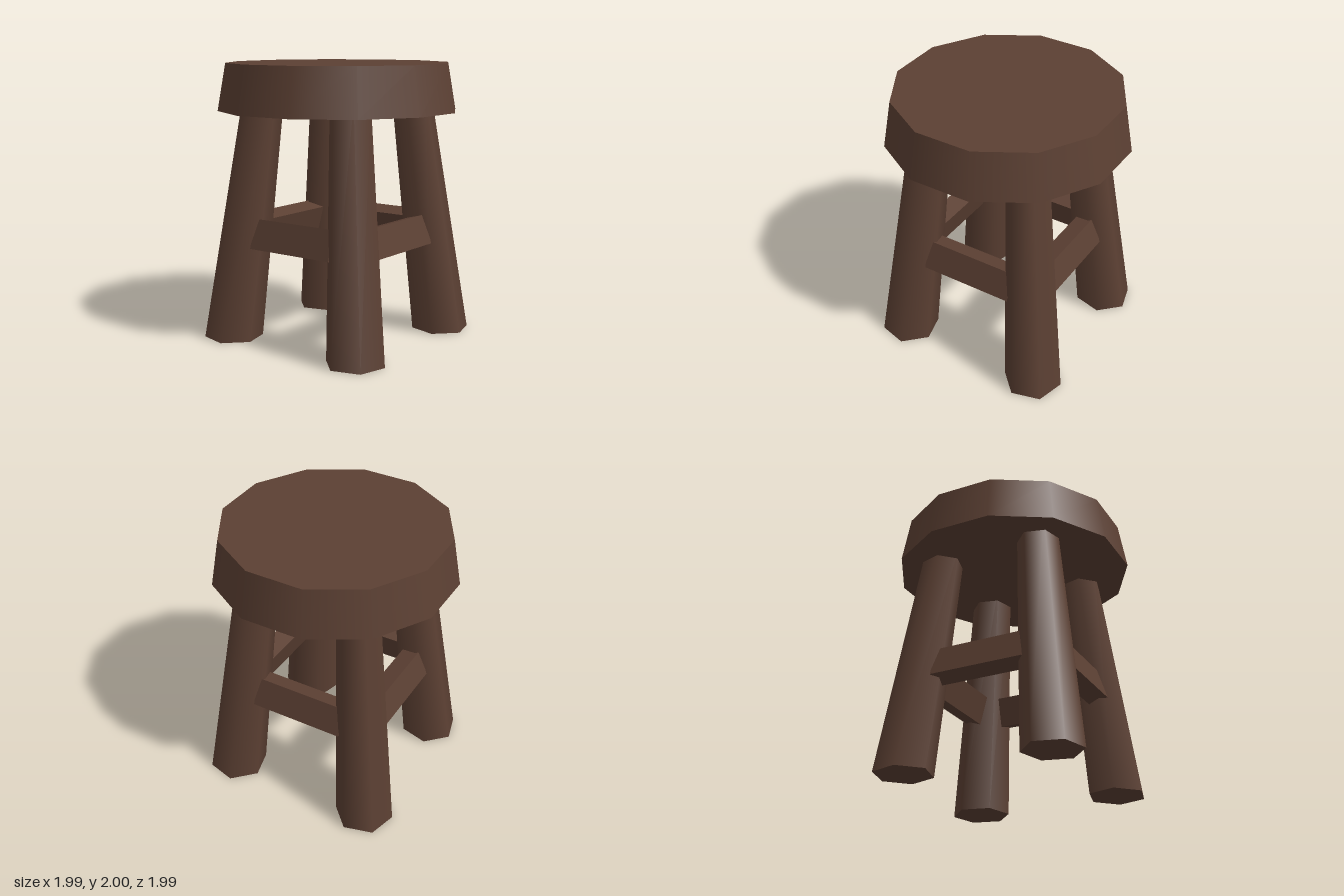
import * as THREE from 'three';

export function createModel() {
  const model = new THREE.Group();
  model.name = 'stool';
  const wood = new THREE.MeshStandardMaterial({ color: 0x5c4033 });
  wood.name = 'dark brown wood';

  const add = (parent, name, geometry) => {
    const mesh = new THREE.Mesh(geometry, wood);
    mesh.name = name;
    parent.add(mesh);
    return mesh;
  };

  // Thick twelve-sided seat, slightly wider at its underside
  add(model, 'seat', new THREE.CylinderGeometry(0.81, 0.87, 0.34, 12).translate(0, 1.83, 0));

  // Tapered hexagonal leg, sheared so that it splays while its foot stays level
  const legHeight = 1.76;
  const legGeometry = new THREE.CylinderGeometry(0.148, 0.2125, legHeight, 6, 1)
    .translate(0, legHeight / 2, 0)
    .applyMatrix4(new THREE.Matrix4().set(
      1, 0, 0, 0,
      0, 1, 0, 0,
      0, -0.1355, 1, 0.78,
      0, 0, 0, 1));

  // Stretcher board, leaning with the legs
  const railGeometry = new THREE.BoxGeometry(0.7, 0.219, 0.142)
    .rotateX(-0.27)
    .translate(0, 0.772, 0.49);

  // Four legs on the axes, four stretchers between them
  const legNames = ['frontLeg', 'leftLeg', 'backLeg', 'rightLeg'];
  const railNames = ['frontLeftStretcher', 'backLeftStretcher', 'backRightStretcher', 'frontRightStretcher'];
  for (let i = 0; i < 4; i++) {
    const angle = i * Math.PI / 2;
    add(model, legNames[i], legGeometry).rotation.y = angle;
    add(model, railNames[i], railGeometry).rotation.y = angle + Math.PI / 4;
  }

  return model;
}
